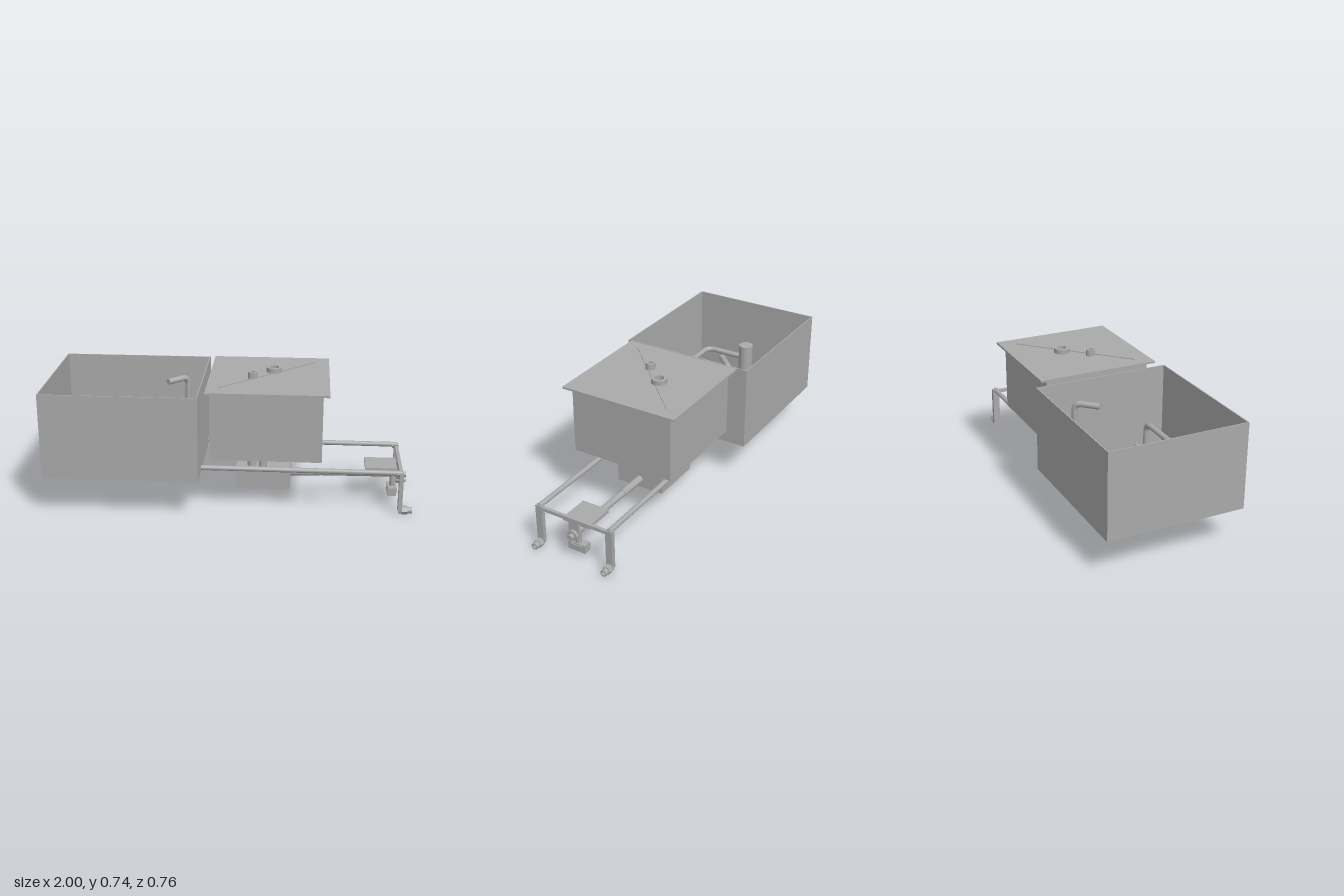
import * as THREE from 'three';

const grey = new THREE.MeshStandardMaterial({ color: 0xa9a9a9 });
grey.name = 'plain grey';

export function createModel() {
  const model = new THREE.Group();
  model.name = 'tankAssembly';
  const V = (x, y, z) => new THREE.Vector3(x, y, z);

  const add = (name, geometry) => {
    const mesh = new THREE.Mesh(geometry, grey);
    mesh.name = name;
    model.add(mesh);
    return mesh;
  };
  // Box given by its limits on each axis
  const box = (name, x0, x1, y0, y1, z0, z1) => {
    const m = add(name, new THREE.BoxGeometry(x1 - x0, y1 - y0, z1 - z0));
    m.position.set((x0 + x1) / 2, (y0 + y1) / 2, (z0 + z1) / 2);
    return m;
  };
  // Rod between two points; six sides gives a hex nut
  const rod = (name, a, b, r, sides = 24) => {
    let g = new THREE.CylinderGeometry(r, r, a.distanceTo(b), sides);
    if (sides === 6) {
      g = g.toNonIndexed();
      g.computeVertexNormals();
    }
    const m = add(name, g);
    m.position.copy(a).add(b).multiplyScalar(0.5);
    m.quaternion.setFromUnitVectors(V(0, 1, 0), b.clone().sub(a).normalize());
    return m;
  };
  const disc = (x, y, r) => new THREE.Path().absarc(x, y, r, 0, Math.PI * 2, true);
  // Hollow ring or tube, standing upright unless turned
  const ring = (name, x, y, z, outer, inner, length) => {
    const s = new THREE.Shape().absarc(0, 0, outer, 0, Math.PI * 2);
    s.holes.push(disc(0, 0, inner));
    const m = add(name, new THREE.ExtrudeGeometry(s, { depth: length, bevelEnabled: false, curveSegments: 20 }));
    m.rotation.x = -Math.PI / 2;
    m.position.set(x, y, z);
    return m;
  };
  // Bent pipe: straight runs joined by rounded corners
  const pipe = (name, pts, r, bend = 0.04) => {
    const path = new THREE.CurvePath();
    let from = pts[0];
    for (let i = 1; i < pts.length - 1; i++) {
      const p = pts[i];
      const a = p.clone().add(pts[i - 1].clone().sub(p).setLength(bend));
      const b = p.clone().add(pts[i + 1].clone().sub(p).setLength(bend));
      path.add(new THREE.LineCurve3(from, a));
      path.add(new THREE.QuadraticBezierCurve3(a, p, b));
      from = b;
    }
    path.add(new THREE.LineCurve3(from, pts[pts.length - 1]));
    add(name, new THREE.TubeGeometry(path, 90, r, 14));
    const end = pts[pts.length - 1];
    const back = pts[pts.length - 2].clone().sub(end).setLength(0.004);
    rod(name + 'End', end.clone().add(back), end, r, 14);
  };

  // Open tank with a drain and two fixing holes in its floor
  const t = 0.006, zb = -0.384, zf = 0.38;
  const floor = new THREE.Shape([[-1, -zf], [-0.155, -zf], [-0.155, -zb], [-1, -zb]].map(p => new THREE.Vector2(...p)));
  floor.holes.push(disc(-0.52, -0.1, 0.03), disc(-0.27, 0.215, 0.009), disc(-0.27, -0.215, 0.009));
  const floorMesh = add('tankFloor', new THREE.ExtrudeGeometry(floor, { depth: t, bevelEnabled: false, curveSegments: 20 }));
  floorMesh.rotation.x = -Math.PI / 2;
  floorMesh.position.y = 0.223;
  box('tankFrontWall', -1, -0.155, 0.223, 0.698, zf - t, zf);
  box('tankBackWall', -1, -0.155, 0.223, 0.698, zb, zb + t);
  box('tankRightWall', -1, -1 + t, 0.223, 0.698, zb, zf);
  box('tankLeftWall', -0.155 - t, -0.155, 0.223, 0.698, zb, zf);
  ring('drainPipe', -0.52, 0.2, 0.1, 0.043, 0.03, 0.045);

  // Pump lying on the tank floor, with its upright outlet
  rod('pumpBody', V(-0.79, 0.29, -0.045), V(-0.56, 0.29, -0.045), 0.053);
  rod('pumpOutlet', V(-0.805, 0.229, -0.045), V(-0.805, 0.505, -0.045), 0.042);
  box('pumpTab', -0.605, -0.56, 0.33, 0.352, -0.055, -0.035);

  // Risers inside the tank
  pipe('supplyPipe', [V(-0.27, 0.25, 0.215), V(-0.27, 0.425, 0.215), V(-0.8, 0.425, 0.215), V(-0.8, 0.425, -0.045)], 0.016, 0.05);
  pipe('returnSpout', [V(-0.27, 0.25, -0.215), V(-0.27, 0.625, -0.215), V(-0.37, 0.625, -0.115)], 0.017);

  // Long pipes, hanging posts and nozzles, mirrored front to back
  for (const s of [-1, 1]) {
    const z = s * 0.215;
    rod('riserNut', V(-0.27, 0.229, z), V(-0.27, 0.27, z), 0.04, 6).rotation.y = Math.PI / 6;
    rod('longPipe', V(-0.27, 0.245, z), V(0.935, 0.245, z), 0.014);
    box('endPost', 0.922, 0.945, 0.03, 0.248, z - 0.02, z + 0.02);
    rod('postCap', V(0.91, 0.24, z), V(0.94, 0.24, z), 0.016, 6);
    rod('nozzleNut', V(0.945, 0.028, z), V(0.975, 0.028, z), 0.024, 6);
    rod('nozzleBase', V(0.93, 0.028, z), V(0.95, 0.028, z), 0.02);
    ring('nozzle', 0.97, 0.028, z, 0.018, 0.01, 0.03).rotation.set(0, Math.PI / 2, 0);
  }

  // End crossbar and its central bracket
  box('crossbar', 0.924, 0.943, 0.225, 0.243, -0.215, 0.215);
  box('centreBracket', 0.926, 0.943, 0.15, 0.24, -0.03, 0.03);
  rod('bracketBoss', V(0.925, 0.15, 0), V(0.958, 0.15, 0), 0.03);
  rod('centreNozzle', V(0.955, 0.15, 0), V(0.978, 0.15, 0), 0.016);

  // Feed tube, top plate and lower block
  rod('feedTube', V(0.32, 0.146, 0), V(0.93, 0.152, 0), 0.018);
  rod('feedSleeve', V(0.32, 0.145, 0), V(0.5, 0.148, 0), 0.021);
  box('topPlate', 0.745, 0.92, 0.197, 0.215, -0.08, 0.08);
  box('topPlateStem', 0.82, 0.855, 0.16, 0.2, -0.016, 0.016);
  rod('lowerStem', V(0.905, 0.06, 0), V(0.905, 0.15, 0), 0.017);
  box('lowerBlock', 0.877, 0.925, 0.038, 0.083, -0.052, 0.053);
  box('lowerBlockFace', 0.92, 0.93, 0.044, 0.076, -0.033, 0.033);

  // Raised container with lid and fittings
  box('container', -0.1, 0.5, 0.326, 0.705, -0.3, 0.3);
  box('lid', -0.122, 0.533, 0.704, 0.715, -0.34, 0.34);
  ring('smallPort', 0.115, 0.714, 0.06, 0.026, 0.014, 0.037);
  ring('largePort', 0.228, 0.714, -0.066, 0.043, 0.026, 0.028);
  const bar = box('lidBar', -0.157, 0.557, 0.714, 0.72, -0.002, 0.002);
  bar.rotation.y = Math.atan2(0.5, 0.51);
  bar.position.set(0.2, 0.717, 0);

  // Gear block below, and the supports between them
  box('driveBlock', 0.028, 0.33, 0.097, 0.207, -0.142, 0.142);
  rod('deliveryPipe', V(0.115, 0.2, 0.06), V(0.115, 0.33, 0.06), 0.025);
  for (const s of [-1, 1]) {
    rod('supportLeg', V(0.18, 0.205, s * 0.149), V(0.18, 0.33, s * 0.149), 0.022);
    box('supportFoot', 0.11, 0.25, 0.198, 0.212, s * 0.149 - 0.021, s * 0.149 + 0.021);
  }
  return model;
}
